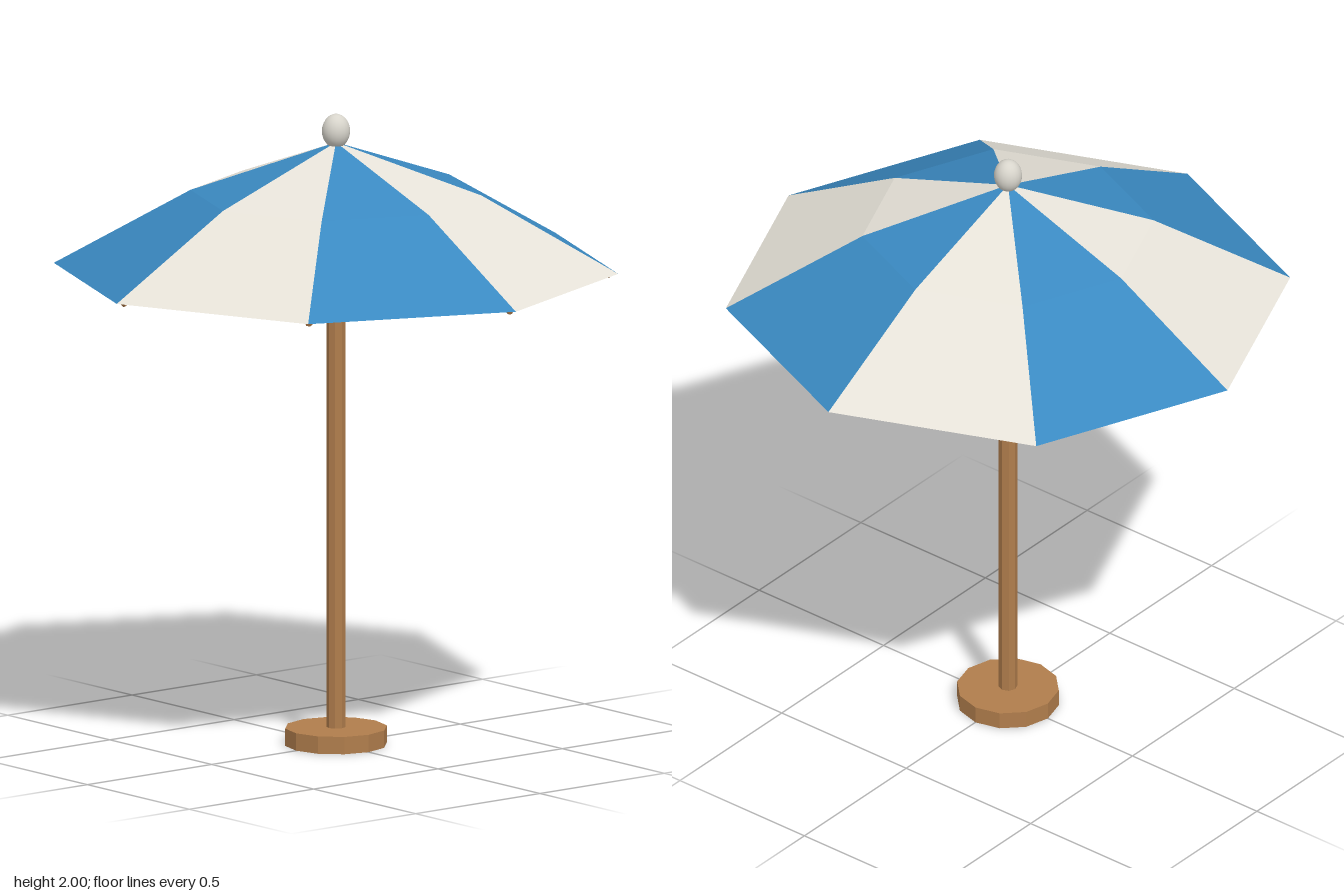
import * as THREE from 'three';

export function createModel() {
  const mat = (name, color, extra = {}) =>
    Object.assign(new THREE.MeshStandardMaterial({ color, flatShading: true, ...extra }), { name });
  const wood = mat('wood', 0xb07d4c);
  const blue = mat('blueCloth', 0x3a89c1, { side: THREE.DoubleSide });
  const cream = mat('creamCloth', 0xe8e4da, { side: THREE.DoubleSide });
  const knob = mat('finialGrey', 0xd8d5cc, { flatShading: false });

  const model = new THREE.Group();
  model.name = 'parasol';
  const add = (name, geometry, material, y = 0) => {
    const mesh = new THREE.Mesh(geometry, material);
    mesh.name = name;
    mesh.position.y = y;
    model.add(mesh);
    return mesh;
  };

  // Foot, pole and finial
  add('base', new THREE.CylinderGeometry(0.16, 0.16, 0.055, 12), wood, 0.0275);
  add('pole', new THREE.CylinderGeometry(0.029, 0.029, 1.85, 8), wood, 0.965);
  add('finial', new THREE.SphereGeometry(0.044, 20, 14), knob, 1.946).scale.y = 0.054 / 0.044;

  // Canopy: eight folded panels in alternating cloth, with a rib under each seam
  const sides = 8;
  const apex = new THREE.Vector3(0, 1.91, 0);
  const at = (r, y, i) => {
    const a = (i / sides) * Math.PI * 2;
    return new THREE.Vector3(r * Math.cos(a), y, r * Math.sin(a));
  };
  for (let i = 0; i < sides; i++) {
    const m0 = at(0.455, 1.75, i), m1 = at(0.455, 1.75, i + 1);
    const e0 = at(0.882, 1.51, i), e1 = at(0.882, 1.51, i + 1);
    const panel = new THREE.BufferGeometry().setFromPoints([apex, m1, m0, m0, m1, e1, m0, e1, e0]);
    panel.computeVertexNormals();
    add('canopyPanel' + (i + 1), panel, i % 2 ? cream : blue);

    const inner = at(0.015, 1.845, i), outer = at(0.858, 1.507, i);
    const dir = outer.clone().sub(inner);
    const rib = add('rib' + (i + 1), new THREE.CylinderGeometry(0.012, 0.012, dir.length(), 6), wood);
    rib.position.copy(inner).add(outer).multiplyScalar(0.5);
    rib.quaternion.setFromUnitVectors(new THREE.Vector3(0, 1, 0), dir.normalize());
  }
  return model;
}
